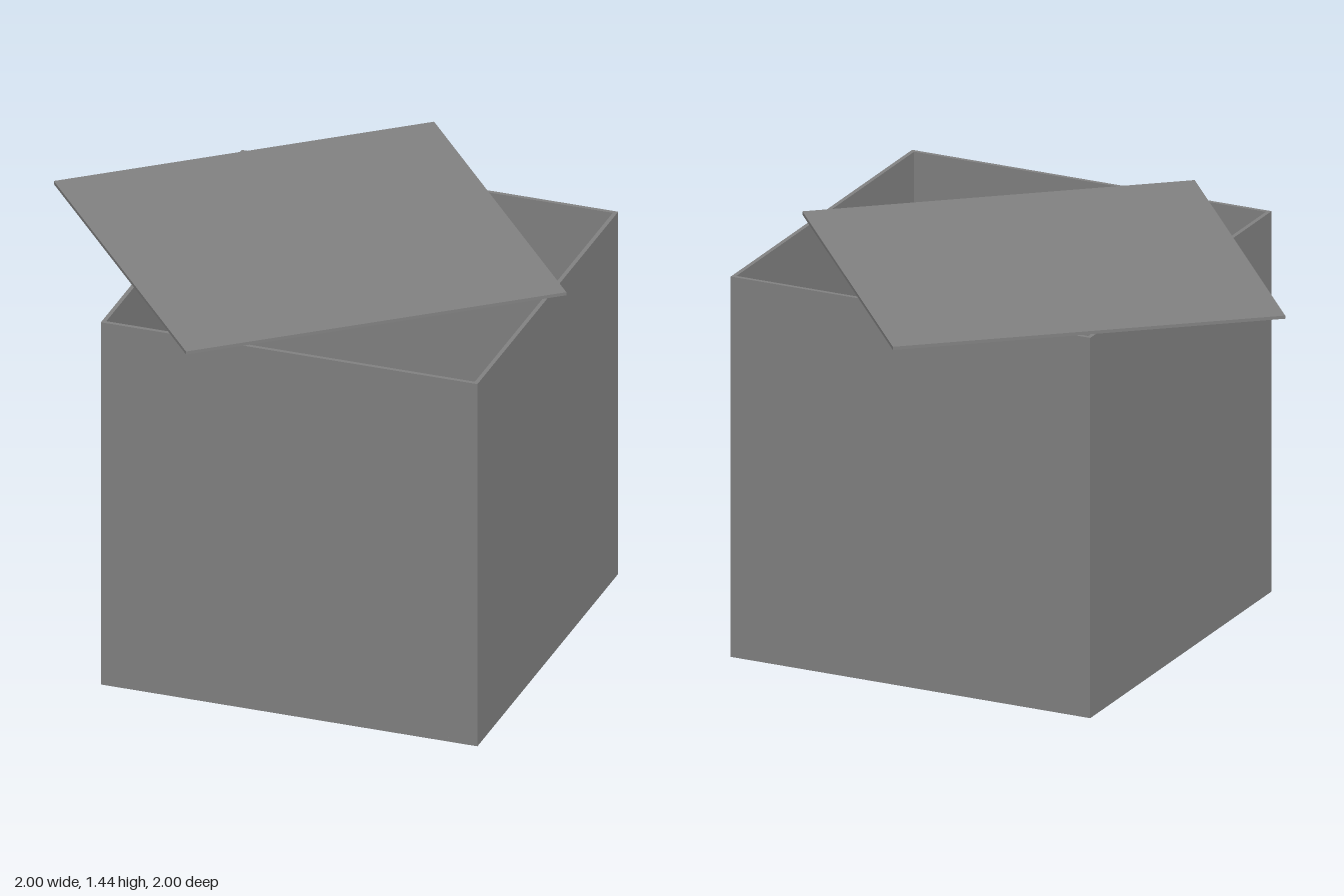
import * as THREE from 'three';

export function createModel() {
  const model = new THREE.Group();
  model.name = 'openBox';
  const grey = new THREE.MeshStandardMaterial({ color: 0x808080 });
  grey.name = 'grey';

  const side = 1.415, t = 0.015; // square panels and their thickness
  const cx = 0.238, cz = 0.142; // centre of the box

  const add = (name, geometry, x, y, z, parent = model) => {
    const mesh = new THREE.Mesh(geometry, grey);
    mesh.name = name;
    mesh.position.set(x, y, z);
    parent.add(mesh);
    return mesh;
  };

  // Box: floor plate with four walls, front and back overlapping the sides
  const box = new THREE.Group();
  box.name = 'box';
  box.position.set(cx, 0, cz);
  model.add(box);
  add('floor', new THREE.BoxGeometry(side, t, side + 2 * t), 0, t / 2, 0, box);
  const wallY = t + side / 2;
  for (const s of [-1, 1]) {
    add(s > 0 ? 'frontWall' : 'backWall',
      new THREE.BoxGeometry(side, side, t), 0, wallY, s * (side + t) / 2, box);
    add(s > 0 ? 'leftWall' : 'rightWall',
      new THREE.BoxGeometry(t, side, side), s * (side - t) / 2, wallY, 0, box);
  }

  // Lid: thin square lying askew across the rim
  const lid = add('lid', new THREE.BoxGeometry(1.421, 0.012, 1.421), 0, t + side + 0.006, 0);
  lid.rotation.y = Math.atan2(0.9, 1.1);

  // Small round object standing on the floor in the back corner
  const h = 0.16;
  add('cylinder', new THREE.CylinderGeometry(0.08, 0.08, h, 48), 0.737, t + h / 2, -0.375);

  return model;
}
